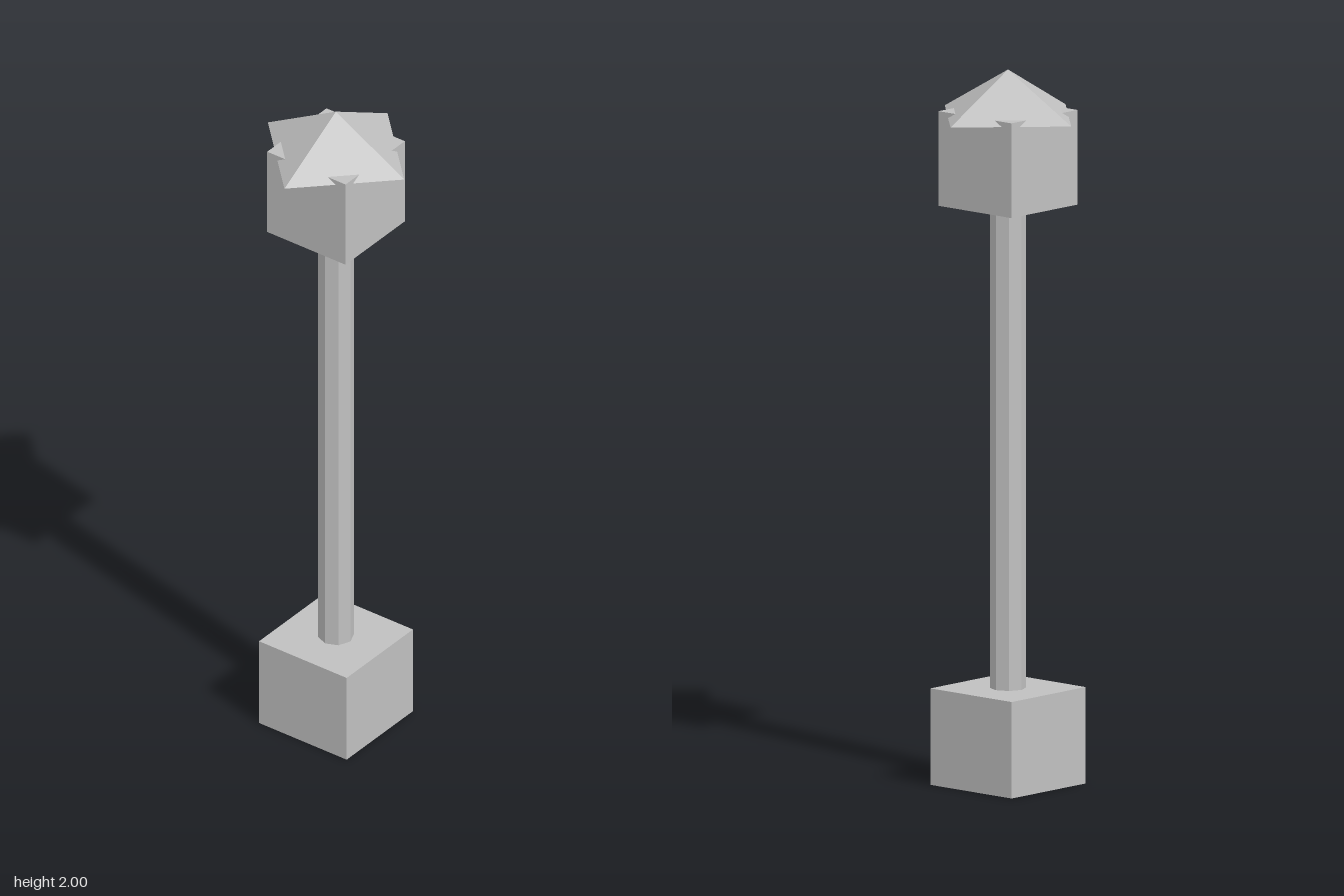
import * as THREE from 'three';

export function createModel() {
  const model = new THREE.Group();
  model.name = 'lampPost';

  const grey = new THREE.MeshStandardMaterial({ color: 0xc0c0c0 });
  grey.name = 'light grey';
  grey.flatShading = true;

  // Adds a part centred on the vertical axis, resting at the given height
  const addPart = (name, geometry, height, bottom) => {
    const mesh = new THREE.Mesh(geometry, grey);
    mesh.name = name;
    mesh.position.y = bottom + height / 2;
    model.add(mesh);
  };

  // Square foot
  addPart('base', new THREE.BoxGeometry(0.302, 0.27, 0.302), 0.27, 0);
  // Eight-sided shaft
  addPart('post', new THREE.CylinderGeometry(0.05, 0.05, 1.35, 8), 1.35, 0.27);
  // Lamp housing, whose top corners poke through the roof
  addPart('lantern', new THREE.BoxGeometry(0.27, 0.265, 0.27), 0.265, 1.62);
  // Pyramid roof turned with its corners on the axes
  addPart('roof', new THREE.ConeGeometry(0.235, 0.13, 4), 0.13, 1.87);

  return model;
}
